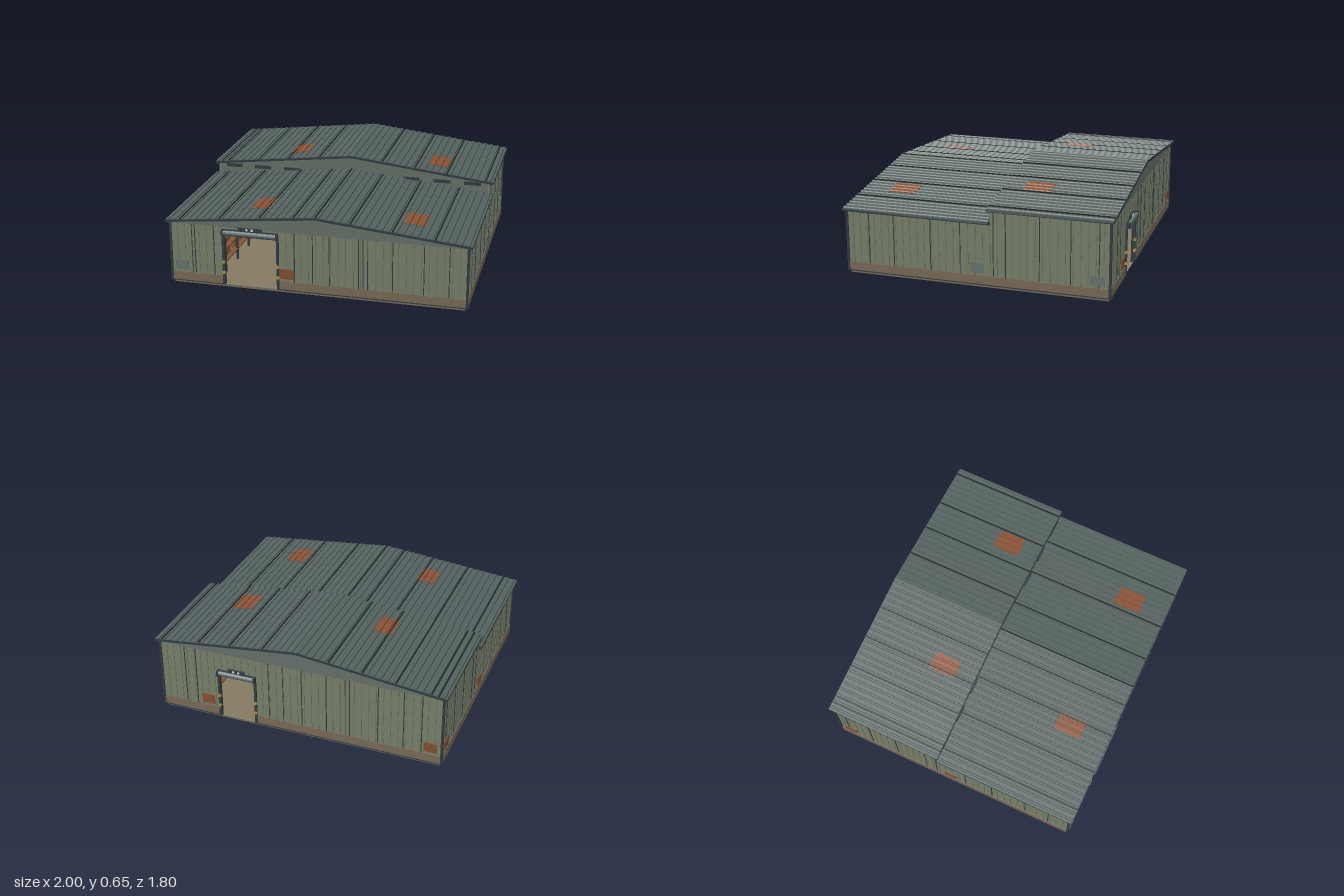
import * as THREE from 'three';

const mat = (color) => new THREE.MeshStandardMaterial({ color, flatShading: true, side: THREE.DoubleSide });
const M = {
  wall: mat(0x7f8770), rib: mat(0x747d6a), gable: mat(0x6c776f), base: mat(0x80705c), roof: mat(0x566361),
  trim: mat(0x344146), dark: mat(0x222c2d), rust: mat(0x8b5437), patch: mat(0x6c7a74), steel: mat(0x6d7b7c),
  yellow: mat(0xb59a4a), lamp: mat(0xd8d8c8), floor: mat(0x857a62), wood: mat(0x8a6a45),
};

function mesh(parent, name, geometry, material, x = 0, y = 0, z = 0) {
  const m = new THREE.Mesh(geometry, material);
  m.name = name;
  m.position.set(x, y, z);
  parent.add(m);
  return m;
}
// Box given by its limits
function block(parent, name, material, x0, x1, y0, y1, z0, z1) {
  return mesh(parent, name, new THREE.BoxGeometry(x1 - x0, y1 - y0, z1 - z0), material,
    (x0 + x1) / 2, (y0 + y1) / 2, (z0 + z1) / 2);
}
function extrude(points, depth) {
  const shape = new THREE.Shape(points.map(([x, y]) => new THREE.Vector2(x, y)));
  return new THREE.ExtrudeGeometry(shape, { depth, bevelEnabled: false });
}

const SILL = 0.02, THICK = 0.015, PITCH = 1 / 22;
const LOW = { ridge: 0.545, slope: 0.1, z0: -0.09, z1: 0.89 };
const HIGH = { ridge: 0.645, slope: 0.115, z0: -0.89, z1: -0.085 };
const under = (r, x) => r.ridge - THICK - r.slope * Math.abs(x);

// Ribbed sheet following the roof slope between x0 and x1
function roofSheet(parent, name, material, r, x0, x1, z0, z1, lift = 0, ribs = true) {
  const y = (x) => r.ridge - r.slope * Math.abs(x) + lift;
  const top = [[x0, y(x0)]];
  for (let i = -22; i < 22; i++) {
    if (i === 0 && x0 < 0 && x1 > 0) top.push([0, y(0)]);
    const c = (i + 0.5) * PITCH;
    if (!ribs || c - 0.01 < x0 || c + 0.01 > x1) continue;
    for (const [d, h] of [[-0.009, 0], [-0.005, 0.006], [0.005, 0.006], [0.009, 0]]) {
      top.push([c + d, y(c + d) + h]);
    }
  }
  top.push([x1, y(x1)]);
  const bottom = [[x1, y(x1) - THICK]];
  if (x0 < 0 && x1 > 0) bottom.push([0, y(0) - THICK]);
  bottom.push([x0, y(x0) - THICK]);
  return mesh(parent, name, extrude([...top, ...bottom], z1 - z0), material, 0, 0, z0);
}

function buildRoof(name, r, seams, skylightZ) {
  const g = new THREE.Group();
  g.name = name;
  roofSheet(g, 'roofSheet', M.roof, r, -1, 1, r.z0, r.z1);
  for (const x of seams) roofSheet(g, 'roofSeam', M.dark, r, x - 0.004, x + 0.004, r.z0, r.z1 + 0.001, 0.007, false);
  for (const x of [-0.405, 0.6]) {
    roofSheet(g, 'roofPatch', M.rust, r, x - 0.07, x + 0.07, skylightZ - 0.092, skylightZ + 0.092, 0.004);
  }
  // Eave gutters and gable edge trim
  const eave = r.ridge - r.slope;
  for (const s of [-1, 1]) {
    block(g, 'eaveTrim', M.trim, s * 0.991 - 0.009, s * 0.991 + 0.009, eave - 0.019, eave - 0.002, r.z0 - 0.012 * (r === LOW), r.z1);
  }
  for (const z of [r.z0, r.z1]) {
    roofSheet(g, 'gableTrim', M.trim, r, -1, 1, z - 0.003, z + 0.003, -0.003, false);
  }
  return g;
}

// Clad wall in local space: x along the wall, outside towards +z
function buildWall(name, half, top, outline, door, seams, patches) {
  const g = new THREE.Group();
  g.name = name;
  const shape = new THREE.Shape(outline.map(([x, y]) => new THREE.Vector2(x, y)));
  if (door) {
    const [a, b, h] = door;
    shape.holes.push(new THREE.Path([[a, SILL + 0.001], [a, h], [b, h], [b, SILL + 0.001]].map(([x, y]) => new THREE.Vector2(x, y))));
  }
  mesh(g, 'wallPanel', new THREE.ExtrudeGeometry(shape, { depth: 0.012, bevelEnabled: false }), M.wall, 0, 0, -0.012);
  // Cladding ribs and dark joints
  const strip = (id, m, x, w, d) => {
    const blocked = door && x > door[0] - 0.02 && x < door[1] + 0.02;
    block(g, id, m, x - w, x + w, blocked ? door[2] : SILL, top(x), 0, d);
  };
  const n = Math.floor(half / 0.0488);
  for (let i = -n; i <= n; i++) strip('wallRib', M.rib, i * 0.0488, 0.003, 0.003);
  for (const x of seams) strip('wallJoint', M.trim, x, 0.0025, 0.004);
  // Dirty lower band, split at the doorway
  const spans = door ? [[-half, door[0]], [door[1], half]] : [[-half, half]];
  for (const [a, b] of spans) {
    block(g, 'lowerBand', M.base, a, b, SILL, 0.08, 0, 0.005);
    block(g, 'sillTrim', M.trim, a, b, SILL - 0.002, SILL + 0.004, 0, 0.009);
  }
  for (const [x, m] of patches) block(g, 'wallPatch', m, x - 0.044, x + 0.044, 0.098, 0.165, 0, 0.007);
  for (const s of [-1, 1]) {
    block(g, 'cornerTrim', M.trim, s * half - 0.007, s * half + 0.007, SILL, top(s * half), -0.004, 0.008);
  }
  return g;
}

// Roller door frame around an open doorway
function addDoor(g, [a, b, h]) {
  for (const x of [a, b]) {
    block(g, 'doorPost', M.trim, x - 0.008, x + 0.008, SILL, h, -0.015, 0.012);
    for (const y of [0.105, 0.18]) block(g, 'postMarker', M.yellow, x - 0.009, x + 0.009, y - 0.01, y + 0.01, 0, 0.015);
  }
  block(g, 'doorHeader', M.trim, a - 0.006, b + 0.006, h, h + 0.045, 0, 0.01);
  const roll = mesh(g, 'shutterRoll', new THREE.CylinderGeometry(0.015, 0.015, b - a, 10), M.steel, (a + b) / 2, h + 0.024, 0.014);
  roll.rotation.z = Math.PI / 2;
  for (const x of [a, b]) block(g, 'rollBracket', M.trim, x - 0.006, x + 0.006, h + 0.004, h + 0.045, 0, 0.03);
  const c = (a + b) / 2, w = (b - a) * 0.22;
  block(g, 'lampBox', M.trim, c - w, c + w, h + 0.045, h + 0.066, 0, 0.014);
  for (const x of [c - 0.018, c + 0.018]) block(g, 'lamp', M.lamp, x - 0.007, x + 0.007, h + 0.048, h + 0.062, 0.01, 0.018);
}

function buildGable(name, r, door, seams, patches) {
  const half = 0.975, band = r === LOW ? 0.42 : 0.505;
  const outline = [[-half, SILL], [half, SILL], [half, under(r, half)], [0, under(r, 0)], [-half, under(r, half)]];
  const g = buildWall(name, half, () => band, outline, door, seams, patches);
  mesh(g, 'gablePanel', extrude([[-half, band], [half, band], ...outline.slice(2)], 0.006), M.gable);
  addDoor(g, door);
  return g;
}

// Storage rack with shelves and crates
function buildRack(x, z) {
  const g = new THREE.Group();
  g.name = 'storageRack';
  for (const px of [-0.08, 0.08]) for (const pz of [-0.24, 0, 0.24]) {
    block(g, 'rackPost', M.trim, px - 0.007, px + 0.007, SILL, 0.27, pz - 0.007, pz + 0.007);
  }
  for (const y of [0.09, 0.18, 0.26]) block(g, 'rackShelf', M.rust, -0.085, 0.085, y, y + 0.01, -0.25, 0.25);
  for (const y of [0.1, 0.19]) for (const cz of [-0.16, -0.04, 0.12]) {
    block(g, 'crate', M.wood, -0.055, 0.055, y, y + 0.05, cz - 0.045, cz + 0.045);
  }
  g.position.set(x, 0, z);
  return g;
}

export function createModel() {
  const model = new THREE.Group();
  model.name = 'warehouse';

  // Ground slab
  block(model, 'slab', M.base, -0.965, 0.965, 0, SILL - 0.002, -0.862, 0.862);
  block(model, 'floor', M.floor, -0.96, 0.96, 0.015, SILL, -0.86, 0.86);

  // Gable walls with doorways
  const front = buildGable('frontWall', LOW, [-0.615, -0.25, 0.362],
    [-0.83, -0.81, -0.68, -0.14, -0.02, 0.09, 0.28, 0.31, 0.34, 0.5, 0.7, 0.86], [[-0.903, M.patch], [-0.192, M.rust]]);
  front.position.z = 0.87;
  const back = buildGable('backWall', HIGH, [-0.555, -0.295, 0.335],
    [-0.8, -0.72, -0.2, -0.1, 0.03, 0.2, 0.33, 0.36, 0.55, 0.72, 0.84], [[-0.64, M.rust], [0.9, M.rust]]);
  back.position.z = -0.87;
  back.rotation.y = Math.PI;
  model.add(front, back);

  // Stepped side walls; dir turns local x into the depth of the building
  for (const s of [1, -1]) {
    const half = 0.87, lo = under(LOW, 0.975), hi = under(HIGH, 0.975), step = s * 0.09;
    const top = (x) => (s * x > 0.09 ? hi : lo);
    const outline = [[-s * half, SILL], [s * half, SILL], [s * half, hi], [step, hi], [step, lo], [-s * half, lo]];
    const m = s > 0 ? M.patch : M.rust;
    const side = buildWall(s > 0 ? 'leftWall' : 'rightWall', half, top, outline, null,
      [-0.72, -0.55, -0.3, -0.1, 0.12, 0.2, 0.42, 0.62, 0.8].map((x) => x * s), [[s * 0.015, m], [s * 0.79, m]]);
    side.position.x = s * 0.975;
    side.rotation.y = s * Math.PI / 2;
    model.add(side);
  }

  // Wall above the roof step, with a row of vents
  const w = 0.975;
  mesh(model, 'stepWall', extrude([[-w, 0.42], [0, under(LOW, 0)], [w, 0.42],
    [w, under(HIGH, w)], [0, under(HIGH, 0)], [-w, under(HIGH, w)]], 0.012), M.gable, 0, 0, -0.103);
  for (const s of [-1, 1]) for (const x of [0.43, 0.645, 0.858]) {
    block(model, 'stepVent', M.trim, s * x - 0.058, s * x + 0.058, 0.498, 0.521, -0.1, -0.081);
  }

  // Roofs
  model.add(buildRoof('lowRoof', LOW, [-0.9, -0.63, -0.36, -0.135, 0.005, 0.23, 0.5, 0.77], 0.617));
  model.add(buildRoof('highRoof', HIGH, [-0.945, -0.9, -0.67, -0.45, -0.225, 0.225, 0.455, 0.68, 0.95], -0.308));

  // Interior racks
  for (const x of [-0.75, 0.75]) for (const z of [-0.45, 0.45]) model.add(buildRack(x, z));
  return model;
}
